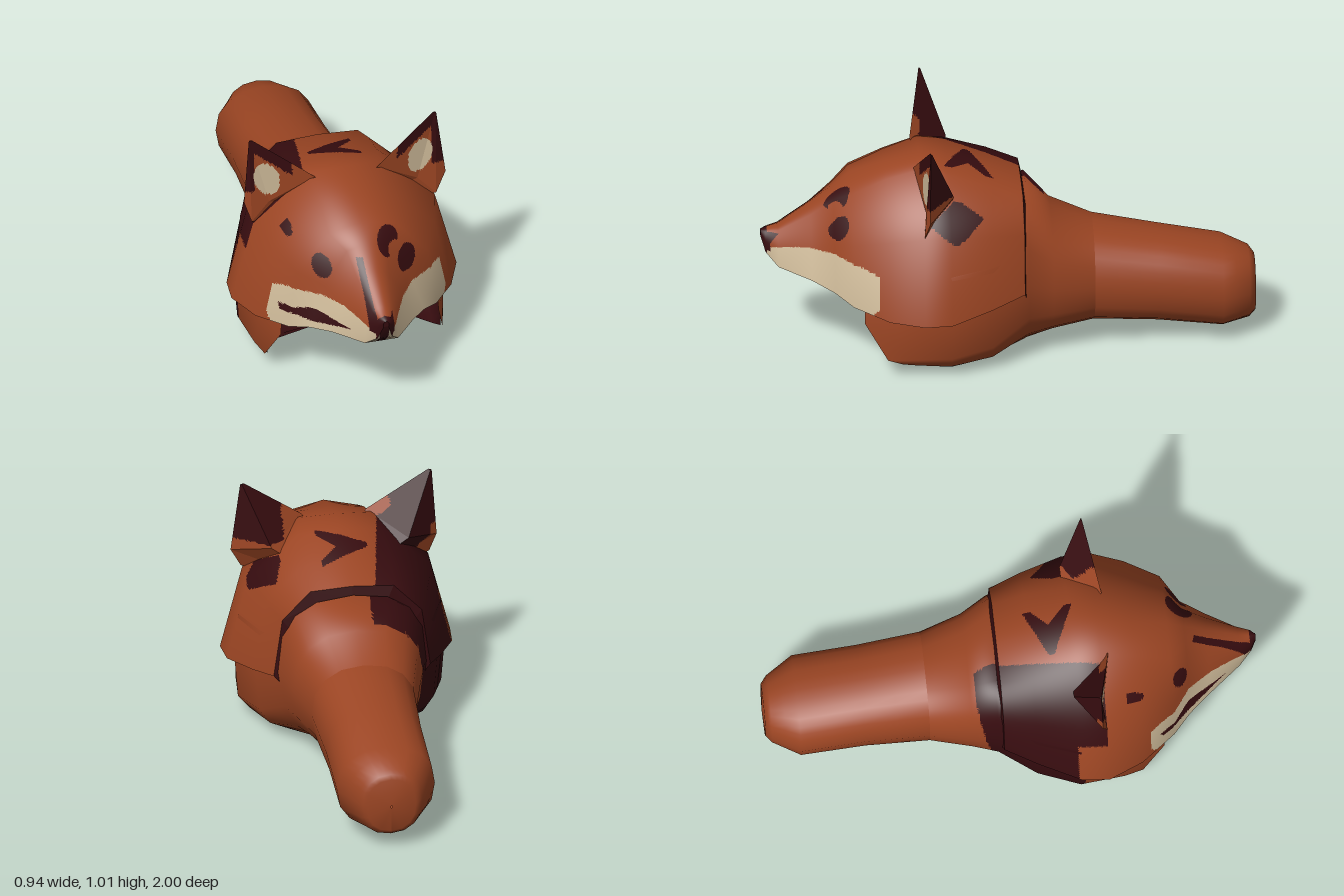
import * as THREE from 'three';

const mat = (name, color) => Object.assign(new THREE.MeshStandardMaterial({ color }), { name });

// Index of each paint in the material array
const FUR = 0, DARK = 1, CREAM = 2;

// Skin over a grid of points; each cell is split n x n and painted by position
function skin(name, grid, mats, { n = 8, paint = () => FUR, flip = false, flat = false } = {}) {
  const rows = grid.length, cols = grid[0].length;
  const coarse = new THREE.BufferGeometry();
  coarse.setAttribute('position', new THREE.Float32BufferAttribute(grid.flat(2), 3));
  const index = [];
  for (let i = 0; i < rows - 1; i++) for (let j = 0; j < cols - 1; j++) {
    const a = i * cols + j, c = a + cols;
    index.push(a, a + 1, c, a + 1, c + 1, c);
  }
  coarse.setIndex(index);
  coarse.computeVertexNormals();

  const P = coarse.attributes.position, N = coarse.attributes.normal;
  const read = (attr, k) => new THREE.Vector3().fromBufferAttribute(attr, k);
  const mix = (attr, i, j, u, v) => {
    const a = i * cols + j, c = a + cols;
    const top = read(attr, a).lerp(read(attr, a + 1), v);
    return top.lerp(read(attr, c).lerp(read(attr, c + 1), v), u);
  };
  const buckets = mats.map(() => ({ pos: [], nor: [] }));
  for (let i = 0; i < rows - 1; i++) for (let j = 0; j < cols - 1; j++)
    for (let s = 0; s < n; s++) for (let t = 0; t < n; t++) {
      const uv = [[s, t], [s, t + 1], [s + 1, t], [s + 1, t + 1]];
      const pts = uv.map(([u, v]) => mix(P, i, j, u / n, v / n));
      const nrm = uv.map(([u, v]) => mix(N, i, j, u / n, v / n).normalize());
      for (const tri of [[0, 1, 2], [1, 3, 2]]) {
        const order = flip ? [tri[0], tri[2], tri[1]] : tri;
        const mid = order.reduce((m, k) => m.add(pts[k]), new THREE.Vector3()).divideScalar(3);
        const b = buckets[paint(mid.x, mid.y, mid.z)];
        for (const k of order) {
          b.pos.push(...pts[k].toArray());
          b.nor.push(...nrm[k].clone().multiplyScalar(flip ? -1 : 1).toArray());
        }
      }
    }
  const geo = new THREE.BufferGeometry();
  let start = 0;
  buckets.forEach((b, k) => {
    if (b.pos.length) geo.addGroup(start, b.pos.length / 3, k);
    start += b.pos.length / 3;
  });
  geo.setAttribute('position', new THREE.Float32BufferAttribute(buckets.flatMap(b => b.pos), 3));
  geo.setAttribute('normal', new THREE.Float32BufferAttribute(buckets.flatMap(b => b.nor), 3));
  if (flat) geo.computeVertexNormals();
  const mesh = new THREE.Mesh(geo, mats);
  mesh.name = name;
  return mesh;
}

const oval = (x, y, cx, cy, rx, ry) => ((x - cx) / rx) ** 2 + ((y - cy) / ry) ** 2 < 1;

// Head sections, nose to nape: z, top y, then shoulder, cheek and lower edge (x, y)
const HEAD = [
  [1.0, 0.5, 0.006, 0.498, 0.012, 0.49, 0.01, 0.475],
  [0.98, 0.51, 0.025, 0.50, 0.035, 0.46, 0.03, 0.41],
  [0.93, 0.525, 0.04, 0.51, 0.065, 0.44, 0.07, 0.36],
  [0.8, 0.62, 0.065, 0.59, 0.13, 0.47, 0.17, 0.345],
  [0.71, 0.69, 0.085, 0.665, 0.175, 0.51, 0.24, 0.32],
  [0.64, 0.75, 0.14, 0.715, 0.275, 0.55, 0.31, 0.29],
  [0.5, 0.79, 0.14, 0.78, 0.34, 0.59, 0.41, 0.268],
  [0.36, 0.83, 0.15, 0.825, 0.38, 0.62, 0.47, 0.27],
  [0.25, 0.815, 0.17, 0.805, 0.375, 0.62, 0.46, 0.27],
  [0.08, 0.76, 0.18, 0.75, 0.33, 0.6, 0.385, 0.3],
  [-0.05, 0.71, 0.17, 0.70, 0.285, 0.58, 0.32, 0.33],
];
const headRow = ([z, top, sx, sy, cx, cy, ex, ey], k = 1, dy = 0) => [
  [-ex, ey], [-cx, cy], [-sx, sy], [0, top], [sx, sy], [cx, cy], [ex, ey],
].map(([x, y]) => [x * k, y + dy, z]);

// Hood and tail rings: z, half width, bottom, top, squareness, forward slant, floor cut-back
const HOOD = [
  [0.5, 0.395, 0.03, 0.42, 7, 0.5, 0.22],
  [0.43, 0.415, 0.02, 0.48, 5.5, 0.2, 0.16],
  [0.25, 0.43, 0.0, 0.56, 4.5, 0, 0],
  [0.08, 0.37, 0.005, 0.58, 4, 0, 0],
  [-0.07, 0.295, 0.03, 0.68, 2.6, 0, 0],
  [-0.17, 0.26, 0.055, 0.57, 2.4, 0, 0],
  [-0.34, 0.215, 0.085, 0.5, 2.3, 0, 0],
];
const TAIL = [
  HOOD[6],
  [-0.6, 0.2, 0.07, 0.447, 2.3, 0, 0],
  [-0.86, 0.2, 0.04, 0.395, 2.3, 0, 0],
  [-0.97, 0.13, 0.06, 0.35, 2.3, 0, 0],
  [-0.995, 0.1, 0.085, 0.315, 2.3, 0, 0],
  [-1, 0.003, 0.19, 0.2, 2, 0, 0],
];
const ring = ([z, w, b, t, e, slant, cut], inset = 0) => Array.from({ length: 17 }, (_, k) => {
  const a = k / 16 * Math.PI * 2, s = Math.sin(a), c = Math.cos(a);
  const pw = v => Math.sign(v) * Math.abs(v) ** (2 / e);
  const y = (b + t) / 2 - pw(c) * ((t - b) / 2 - inset);
  const forward = Math.min(slant * (y - b), 0.1);
  const back = c > 0 ? cut * (1 - Math.abs(s)) : 0;
  // the sides lean in where the rim reaches forward
  return [-pw(s) * Math.max(w - inset, 0.001) * (1 - forward * 1.7), y, z + forward - back];
});

// Face markings, muzzle and the large dark patch on the right side
function paintHead(x, y, z) {
  const noseL = y > 0.42 ? -0.035 + (y - 0.42) * 0.35 : -0.022, noseR = y > 0.42 ? 0.045 : 0.015;
  if (z > 0.9 && y < 0.5 && x > noseL && x < noseR || z > 0.975) return DARK;
  if (z > 0.52) {
    if (x > -0.055 && x < -0.028 && y > 0.43 && y < 0.65) return DARK;
    const slit = 0.028 * (1 - Math.abs(x + 0.23) / 0.12);
    if (x > -0.335 && Math.abs(y - 0.38 - (x + 0.21) * 0.12) < Math.max(slit, x < -0.23 ? 0.013 : 0)) return DARK;
    const ax = Math.abs(x);
    const top = 0.472 - Math.max(0, ax - 0.27) ** 2 * 5 - Math.max(0, 0.12 - ax) * 0.45;
    if (ax > 0.013 && ax < 0.382 && y < top && z > 0.54 + Math.max(0, 0.31 - y) * 0.8) return CREAM;
  }
  if (z > 0.45) {
    if (oval(x, y, -0.18, 0.59, 0.036, 0.048) || oval(x, y, 0.17, 0.578, 0.043, 0.05)) return DARK;
    if (oval(x, y, -0.277, 0.67, 0.02, 0.027)) return DARK;
    if (oval(x, y, 0.092, 0.675, 0.048, 0.046) && !oval(x, y, 0.112, 0.645, 0.028, 0.022)) return DARK;
    return FUR;
  }
  if (x < -0.08 - (z + 0.14) * 0.18 && z < 0.36 && !(z > 0.24 && y < 0.5)) return DARK;
  if (x > 0.25 && Math.abs(z - 0.225) / 0.11 + Math.abs(y - 0.66) / 0.075 < 1) return DARK;
  // small open arrow on the crown
  const along = x + 0.1, off = Math.abs(z - 0.165);
  return along > 0 && along < 0.2 && off < 0.01 + along * 0.45 && off > along - 0.13 ? DARK : FUR;
}

function paintHood(x, y, z) {
  if (z < -0.15 + Math.max(0, 0.55 - y) * 0.15) return FUR;
  return y < 0.045 || (x < -0.07 && z < 0.27) ? DARK : FUR;
}

// Pale front of the chin with a dark cleft, dark underneath
const paintPalate = (x, y, z) => (z > 0.93 && y < 0.45 && (x > 0.015 || x < -0.022) ? CREAM : DARK);

// Dark tip and back, fur in front, cream inside
function paintEar(x, y, z) {
  const ax = Math.abs(x), front = z > 0.318 + (ax - 0.385) * -0.15;
  if (front && oval(ax - (y - 0.82) * 0.15, y, 0.32, 0.82, 0.052, 0.076)) return CREAM;
  if (front && ax < 0.37 && (ax < 0.22 || y < 0.775 + (ax - 0.14) * 0.75)) return FUR;
  if (!front && x < 0) return DARK;
  return y > 0.77 && ax > 0.22 ? DARK : FUR;
}

function ear(side, mats) {
  const base = [[0.13, 0.825, 0.39], [0.31, 0.71, 0.35], [0.385, 0.63, 0.36],
    [side > 0 ? 0.43 : 0.412, 0.715, 0.34], [0.28, 0.76, 0.235], [0.13, 0.825, 0.39]];
  const tip = [0.39, 1.022, 0.335], root = [0, 0.55, 0.25];
  const toward = (goal, f) => base.map(p =>
    p.map((v, k) => (v + (goal[k] - v) * f) * (k === 0 ? side : 1)));
  // the first row is buried in the head, the last closes the blunt tip
  const rows = [toward(root, 0.28), ...[0, 0.5, 0.95, 0.999].map(f => toward(tip, f))];
  rows[4] = rows[4].map(([x, y, z]) => [x, y - 0.012, z]);
  return skin(side > 0 ? 'leftEar' : 'rightEar', rows, mats, { n: 14, paint: paintEar, flip: side < 0, flat: true });
}

export function createModel() {
  const mats = [mat('russetFur', 0x9b4523), mat('darkMaroon', 0x360c0f), mat('cream', 0xcdb998)];
  const dark = () => DARK;
  const group = new THREE.Group();
  group.name = 'foxHood';

  group.add(skin('head', HEAD.map(s => headRow(s)), mats, { n: 25, paint: paintHead }));
  group.add(skin('headLining', HEAD.slice(2).map(s => headRow(s, 0.975, -0.008)), mats,
    { n: 1, paint: dark, flip: true }));

  // Underside of the muzzle, arched towards the opening
  const palate = HEAD.slice(0, 7).map(([z, , , , , , ex, ey]) =>
    [[-ex, ey, z], [0, Math.max(ey, 0.35), z], [ex, ey, z]]);
  group.add(skin('palate', palate, mats, { n: 12, paint: paintPalate, flip: true }));
  // Small blunt face of the nose
  const nose = headRow(HEAD[0]);
  group.add(skin('noseTip', [nose, nose.map(([x, , z]) => [x, 0.475, z])], mats,
    { n: 1, paint: dark, flat: true, flip: true }));

  // Step between the back edge of the head and the hood
  const nape = HEAD[HEAD.length - 1];
  const inner = headRow(nape, 0.86, -0.05).map(([x, y]) => [x, y, -0.062]);
  group.add(skin('napeEdge', [headRow(nape), inner], mats, { n: 1, paint: dark, flat: true }));

  group.add(skin('hood', HOOD.map(r => ring(r)), mats, { n: 10, paint: paintHood }));
  group.add(skin('hoodLining', HOOD.map(r => ring(r, 0.008)), mats, { n: 1, paint: dark, flip: true }));
  group.add(skin('tail', TAIL.map(r => ring(r)), mats, { n: 2 }));
  group.add(skin('tailLining', TAIL.map(r => ring(r, 0.008)), mats, { n: 1, flip: true }));

  group.add(ear(1, mats), ear(-1, mats));
  return group;
}
